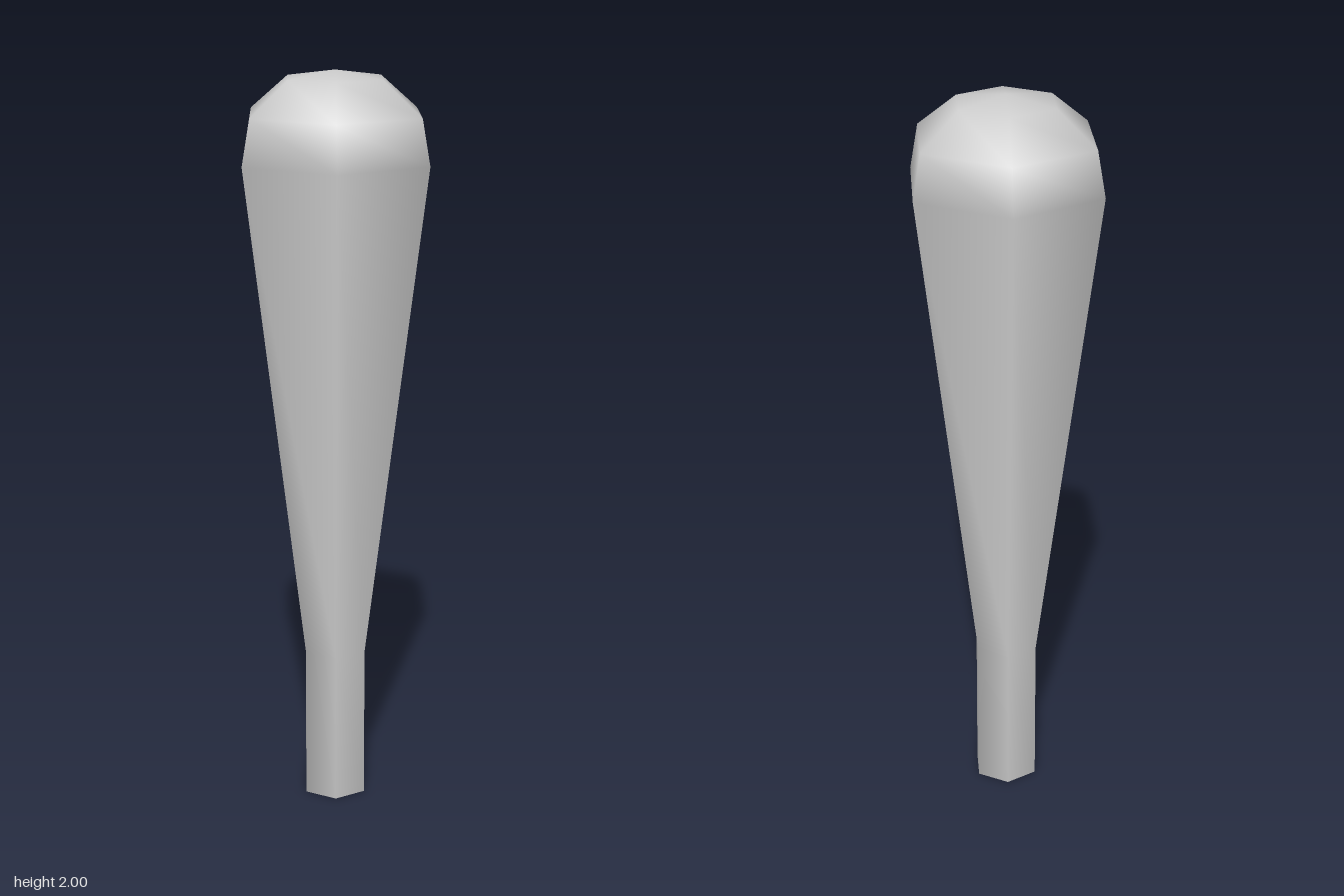
import * as THREE from 'three';
import { mergeVertices } from 'three/addons/utils/BufferGeometryUtils.js';

export function createModel() {
  const group = new THREE.Group();
  group.name = 'club';

  // Half profile (radius, height): butt, straight grip, flaring body, domed head
  const profile = [
    [0, 0], [0.093, 0], [0.093, 0.42],
    [0.275, 1.77], [0.252, 1.89], [0.14, 1.98], [0, 2],
  ].map(([r, y]) => new THREE.Vector2(r, y));

  // Six sides with corners on the x axis, welded for smooth shading all round
  let geometry = new THREE.LatheGeometry(profile, 6, Math.PI / 2);
  geometry.deleteAttribute('normal');
  geometry.deleteAttribute('uv');
  geometry = mergeVertices(geometry, 1e-4);
  geometry.computeVertexNormals();

  const body = new THREE.Mesh(geometry, new THREE.MeshStandardMaterial({ color: 0xcccccc }));
  body.name = 'clubBody';
  group.add(body);
  return group;
}
